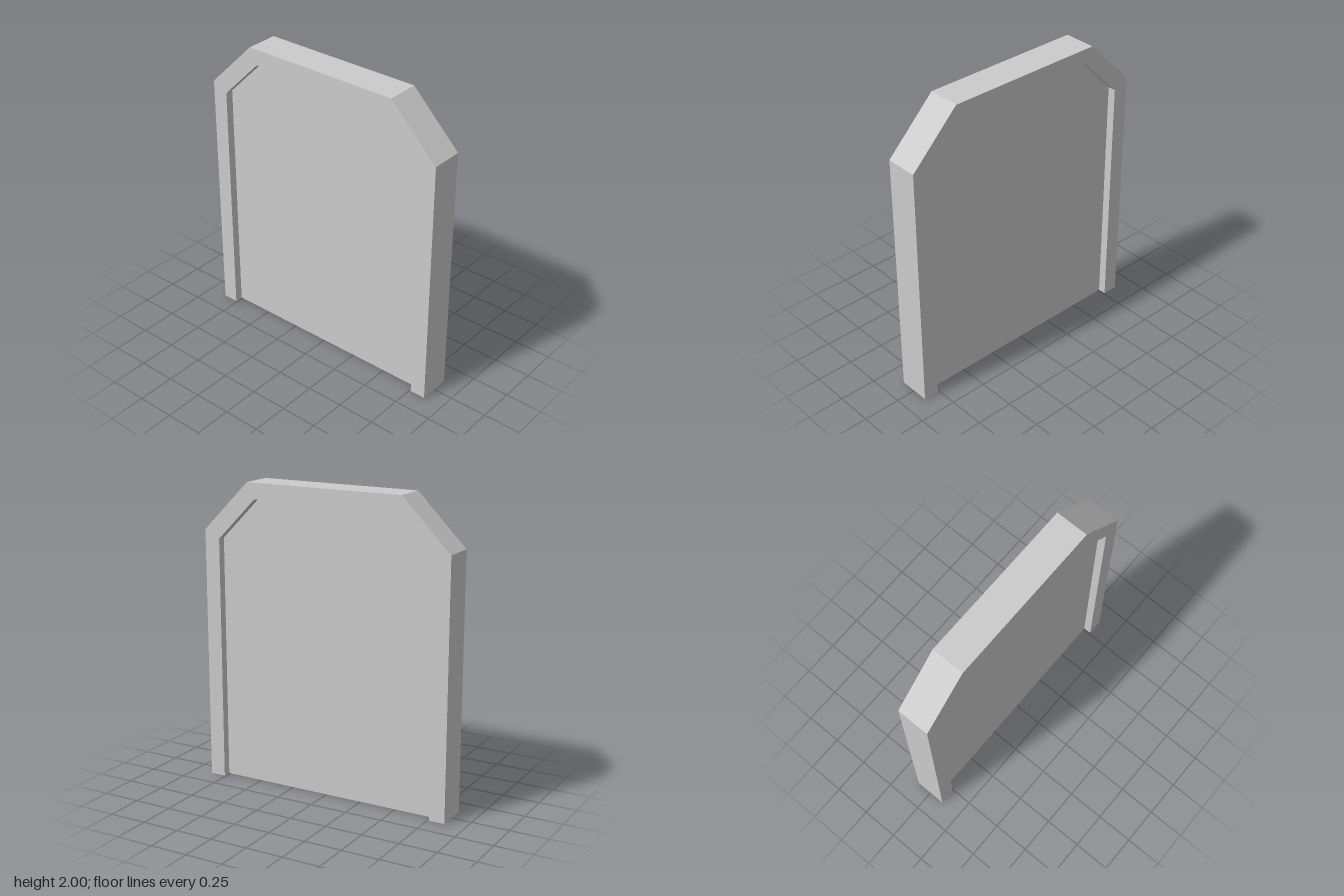
import * as THREE from 'three';

const DEPTH = 0.216, PANEL_Z = 0.054;
const INNER = { w: 0.76, shoulder: 1.62, topW: 0.487, h: 1.895 };
const OUTER = { w: 0.865, shoulder: 1.675, topW: 0.54, h: 2 };

// Arch with cut corners, counter-clockwise from bottom right to bottom left
const arch = ({ w, shoulder, topW, h }) => [
  [w, 0], [w, shoulder], [topW, h], [-topW, h], [-w, shoulder], [-w, 0],
].map(([x, y]) => new THREE.Vector2(x, y));

export function createModel() {
  const group = new THREE.Group();
  const solid = new THREE.MeshStandardMaterial({ color: 0xcccccc, flatShading: true });
  const thin = new THREE.MeshStandardMaterial({ color: 0xcccccc, flatShading: true, side: THREE.DoubleSide });

  const add = (name, geometry, material) => {
    const mesh = new THREE.Mesh(geometry, material);
    mesh.name = name;
    group.add(mesh);
    return mesh;
  };

  // Door frame: the band between the outer and inner arch, open at the floor
  const band = new THREE.Shape([...arch(OUTER), ...arch(INNER).reverse()]);
  const frame = new THREE.ExtrudeGeometry(band, { depth: DEPTH, bevelEnabled: false });
  add('doorFrame', frame.translate(0, 0, -DEPTH / 2), solid);

  // Front and back skins of the hollow, recessed door
  const skin = new THREE.ShapeGeometry(new THREE.Shape(arch(INNER)));
  add('frontPanel', skin, thin).position.z = PANEL_Z;
  const back = add('backPanel', skin, thin);
  back.position.z = -PANEL_Z;
  back.rotation.y = Math.PI;

  // Inner wall where the two door leaves meet
  const wall = new THREE.PlaneGeometry(2 * PANEL_Z, INNER.h).rotateY(Math.PI / 2);
  add('centreWall', wall, thin).position.y = INNER.h / 2;

  return group;
}
